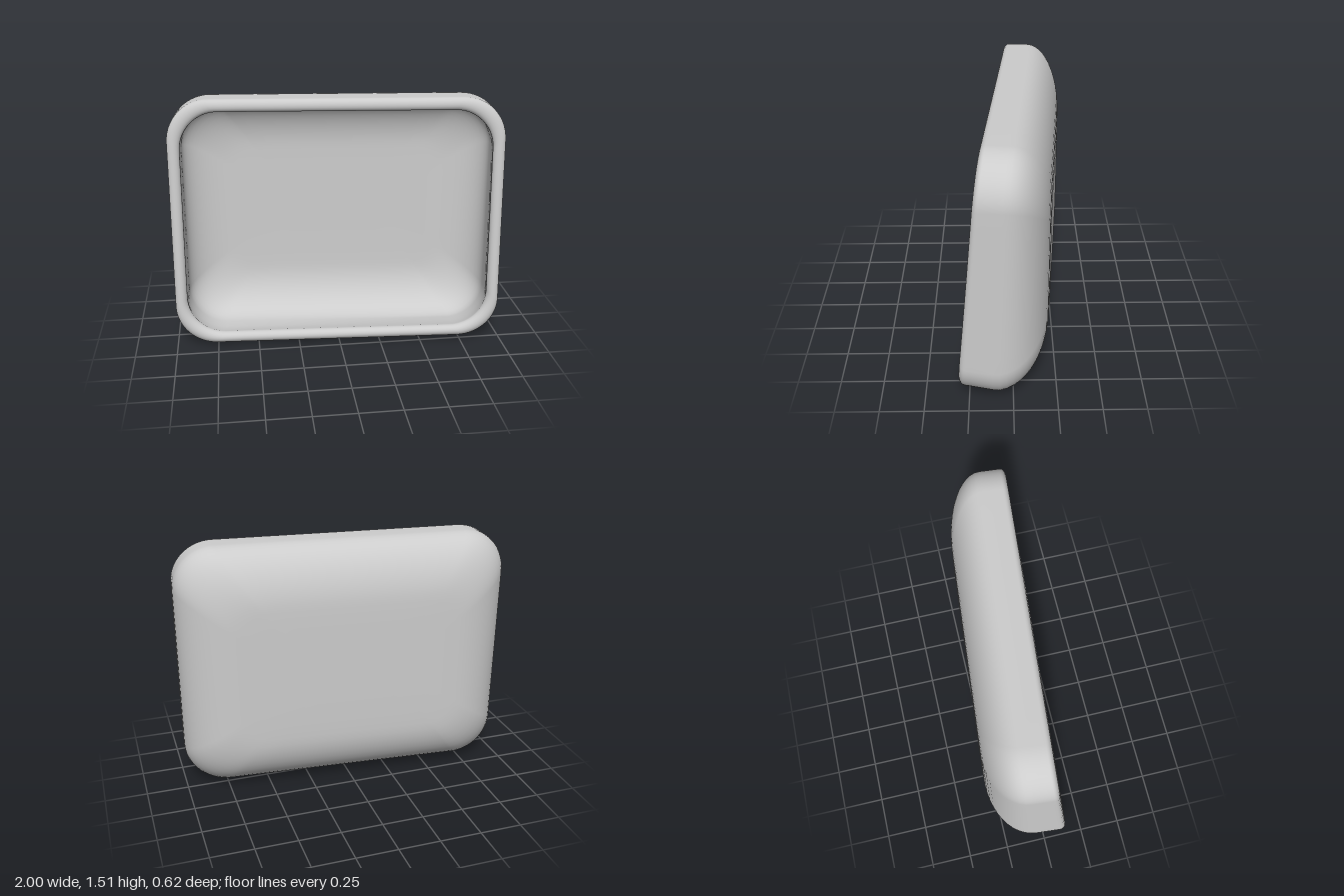
import * as THREE from 'three';

const HALF_W = 0.997, Y0 = 0.002, Y1 = 1.517;
const CORNER_STEPS = 14, EDGE_STEPS = 10;

// Slanted planes that hold the rim and the closed back
const frontZ = (x, y) => 0.172 + 0.085 * x - 0.09 * (y - 0.76);
const backZ = (x) => -0.26 + 0.085 * x;

// Rounded rectangle, counter-clockwise seen from the front
function outline(inset, scale) {
  const w = HALF_W - inset, h = (Y1 - Y0) / 2 - inset, cy = (Y0 + Y1) / 2;
  const r = 0.25 - 0.3 * inset;
  const pts = [];
  const corners = [[1, 1], [-1, 1], [-1, -1], [1, -1]];
  corners.forEach(([sx, sy], k) => {
    for (let i = 0; i <= CORNER_STEPS; i++) {
      const a = (k + i / CORNER_STEPS) * Math.PI / 2;
      pts.push([sx * (w - r) + r * Math.cos(a), sy * (h - r) + r * Math.sin(a)]);
    }
    // straight run towards the next corner
    const [nx, ny] = corners[(k + 1) % 4];
    const a = (k + 1) * Math.PI / 2;
    const from = pts[pts.length - 1];
    const to = [nx * (w - r) + r * Math.cos(a), ny * (h - r) + r * Math.sin(a)];
    for (let i = 1; i < EDGE_STEPS; i++) {
      const f = i / EDGE_STEPS;
      pts.push([from[0] + (to[0] - from[0]) * f, from[1] + (to[1] - from[1]) * f]);
    }
  });
  return pts.map(([x, y]) => [x * scale, cy + y * scale]);
}

// Wall section as [inset, depth fraction from back to front, scale]
function wallSection() {
  const rows = [[0.45, 0, 0], [0.45, 0, 0.5], [0.45, 0, 1]];
  for (let i = 0; i <= 12; i++) { // outer rounding
    const a = (i / 12) * Math.PI / 2;
    rows.push([0.36 * (1 - Math.sin(a)), 0.006 + 0.594 * (1 - Math.cos(a)), 1]);
  }
  rows.push([0, 0.75, 1], [0, 0.87, 1]);
  for (let i = 0; i <= 10; i++) { // rolled lip
    const a = (i / 10) * Math.PI;
    rows.push([0.037 * (1 - Math.cos(a)), 0.92 + 0.08 * Math.sin(a), 1]);
  }
  rows.push([0.07, 0.87, 1], [0.068, 0.75, 1]);
  for (let i = 0; i <= 12; i++) { // inner rounding down to the floor
    const a = (i / 12) * Math.PI / 2;
    rows.push([0.07 + 0.3 * (1 - Math.cos(a)), 0.62 - 0.43 * Math.sin(a), 1]);
  }
  rows.push([0.45, 0.185, 1], [0.45, 0.185, 0.5], [0.45, 0.185, 0]);
  return rows;
}

function trayGeometry() {
  const pos = [], index = [];
  const rows = wallSection();
  let n = 0;
  rows.forEach(([inset, t, scale]) => {
    const pts = outline(inset, scale);
    n = pts.length;
    for (const [x, y] of pts) {
      const z = backZ(x) + t * (frontZ(x, y) - backZ(x));
      // side walls lean with the slant; the underside rises at the front
      const lift = 0.17 * Math.max(0, z - 0.08) * Math.max(0, 1 - y / 0.8);
      pos.push(x - 0.085 * (z - 0.06), y + lift, z);
    }
  });
  for (let i = 0; i < rows.length - 1; i++) {
    for (let j = 0; j < n; j++) {
      const a = i * n + j, b = i * n + (j + 1) % n;
      const c = b + n, d = a + n;
      if (rows[i][2] > 0) index.push(a, b, c);
      else index.push(a, c, d);
      if (rows[i][2] > 0 && rows[i + 1][2] > 0) index.push(a, c, d);
    }
  }
  const geo = new THREE.BufferGeometry();
  geo.setAttribute('position', new THREE.Float32BufferAttribute(pos, 3));
  geo.setIndex(index);
  geo.computeVertexNormals();
  return geo;
}

export function createModel() {
  const group = new THREE.Group();
  group.name = 'tray';
  const grey = new THREE.MeshStandardMaterial({ color: 0xcccccc });
  grey.name = 'light grey';
  const shell = new THREE.Mesh(trayGeometry(), grey);
  shell.name = 'trayShell';
  group.add(shell);
  return group;
}
